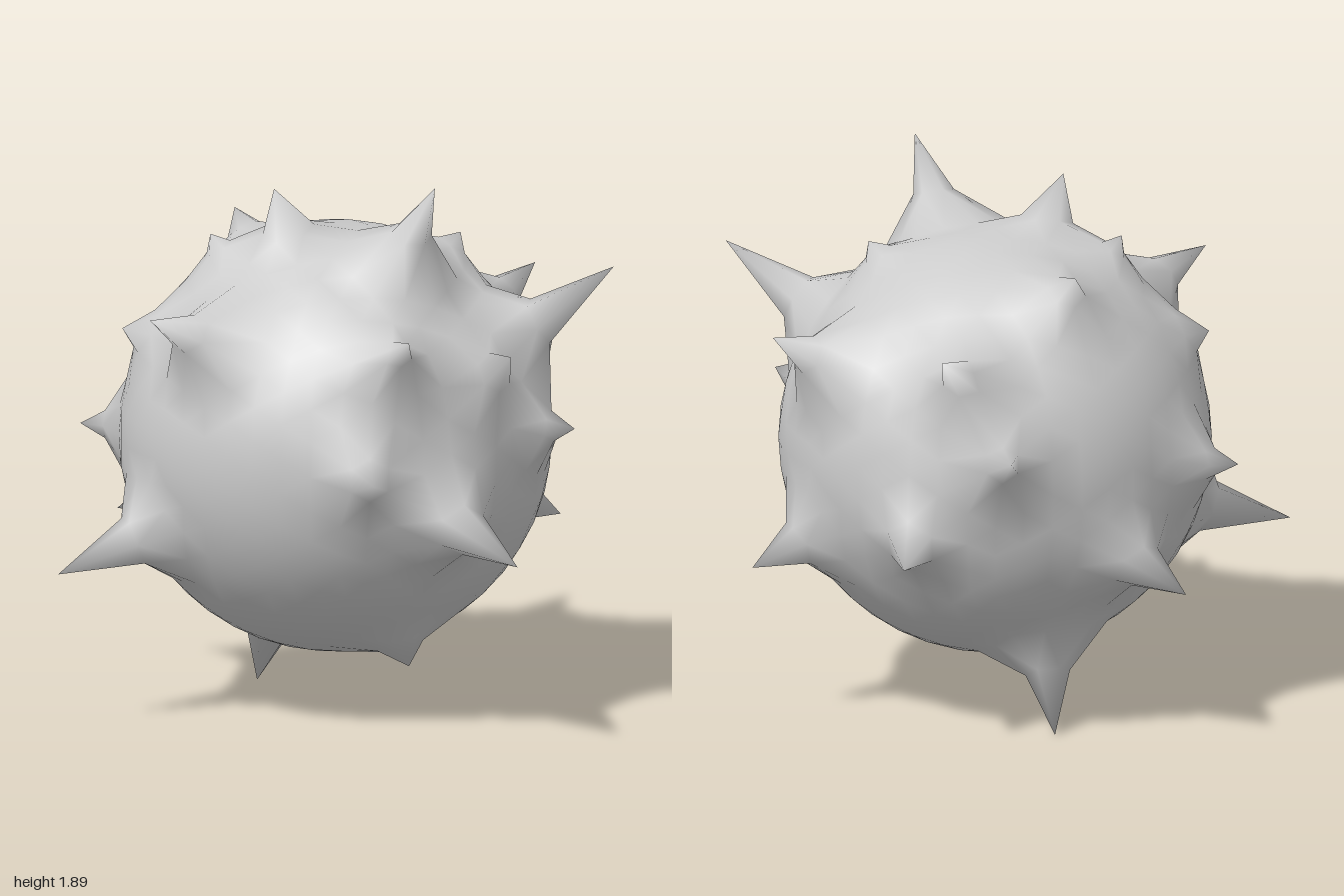
import * as THREE from 'three';
import { mergeVertices } from 'three/addons/utils/BufferGeometryUtils.js';

const CENTRE = new THREE.Vector3(0.045, 0.94, -0.04);
const RADIUS = 0.745;

// Spikes: tip position and radius of the foot
const SPIKES = [
  // crown
  { tip: [0.32, 1.89, 0.42], foot: 0.19 },
  { tip: [-0.19, 1.84, 0.10], foot: 0.14 },
  { tip: [-0.23, 1.65, -0.53], foot: 0.19 },
  { tip: [-0.39, 1.66, -0.04], foot: 0.16 },
  { tip: [0.48, 1.64, -0.04], foot: 0.14 },
  // front
  { tip: [0.52, 0.67, 0.99], foot: 0.15 },
  { tip: [0.04, 0.94, 0.86], foot: 0.17 },
  { tip: [0.17, 1.43, 0.81], foot: 0.21 },
  { tip: [0.57, 1.31, 0.52], foot: 0.18 },
  // left flank
  { tip: [0.97, 1.56, 0.24], foot: 0.15 },
  { tip: [0.80, 1.04, 0.46], foot: 0.17 },
  { tip: [0.81, 1.43, -0.50], foot: 0.20 },
  { tip: [0.88, 0.57, -0.38], foot: 0.15 },
  // right flank
  { tip: [-0.97, 0.55, 0.29], foot: 0.15 },
  { tip: [-0.68, 1.47, 0.48], foot: 0.20 },
  { tip: [-0.69, 1.33, -0.08], foot: 0.16 },
  { tip: [-0.79, 0.94, -0.38], foot: 0.18 },
  // back
  { tip: [0.23, 1.46, -0.91], foot: 0.15 },
  { tip: [0.36, 0.71, -0.89], foot: 0.15 },
  { tip: [-0.01, 1.12, -1.00], foot: 0.20 },
  { tip: [-0.61, 0.57, -0.71], foot: 0.15 },
  // underside
  { tip: [-0.16, 0.00, -0.48], foot: 0.17 },
  { tip: [0.25, 0.19, 0.29], foot: 0.16 },
];

// Sphere with shared corners, so the shading runs smoothly into the spikes
function createSphere() {
  const sphere = new THREE.IcosahedronGeometry(RADIUS, 7);
  sphere.deleteAttribute('uv');
  sphere.deleteAttribute('normal');
  const merged = mergeVertices(sphere, 1e-3);
  merged.translate(CENTRE.x, CENTRE.y, CENTRE.z);
  return merged;
}

// Pull the corner under each tip out to it, and its neighbours along a straight cone
function pullSpikes(geometry) {
  const pos = geometry.attributes.position;
  const corners = Array.from({ length: pos.count }, (_, i) => new THREE.Vector3().fromBufferAttribute(pos, i));
  const pull = new Float32Array(pos.count);
  for (const spike of SPIKES) {
    const tip = new THREE.Vector3(...spike.tip);
    const ideal = tip.clone().sub(CENTRE).setLength(RADIUS).add(CENTRE);
    const root = corners.reduce((a, b) => (b.distanceTo(ideal) < a.distanceTo(ideal) ? b : a));
    corners.forEach((corner, i) => {
      const t = 1 - corner.distanceTo(root) / spike.foot;
      if (t <= pull[i]) return;
      pull[i] = t;
      const p = corner.clone().lerp(tip, t);
      pos.setXYZ(i, p.x, p.y, p.z);
    });
  }
  geometry.computeVertexNormals();
}

export function createModel() {
  const group = new THREE.Group();
  group.name = 'spikedBall';
  const geometry = createSphere();
  pullSpikes(geometry);
  const body = new THREE.Mesh(geometry, new THREE.MeshStandardMaterial({ color: 0xcccccc }));
  body.name = 'spikedShell';
  group.add(body);
  return group;
}
